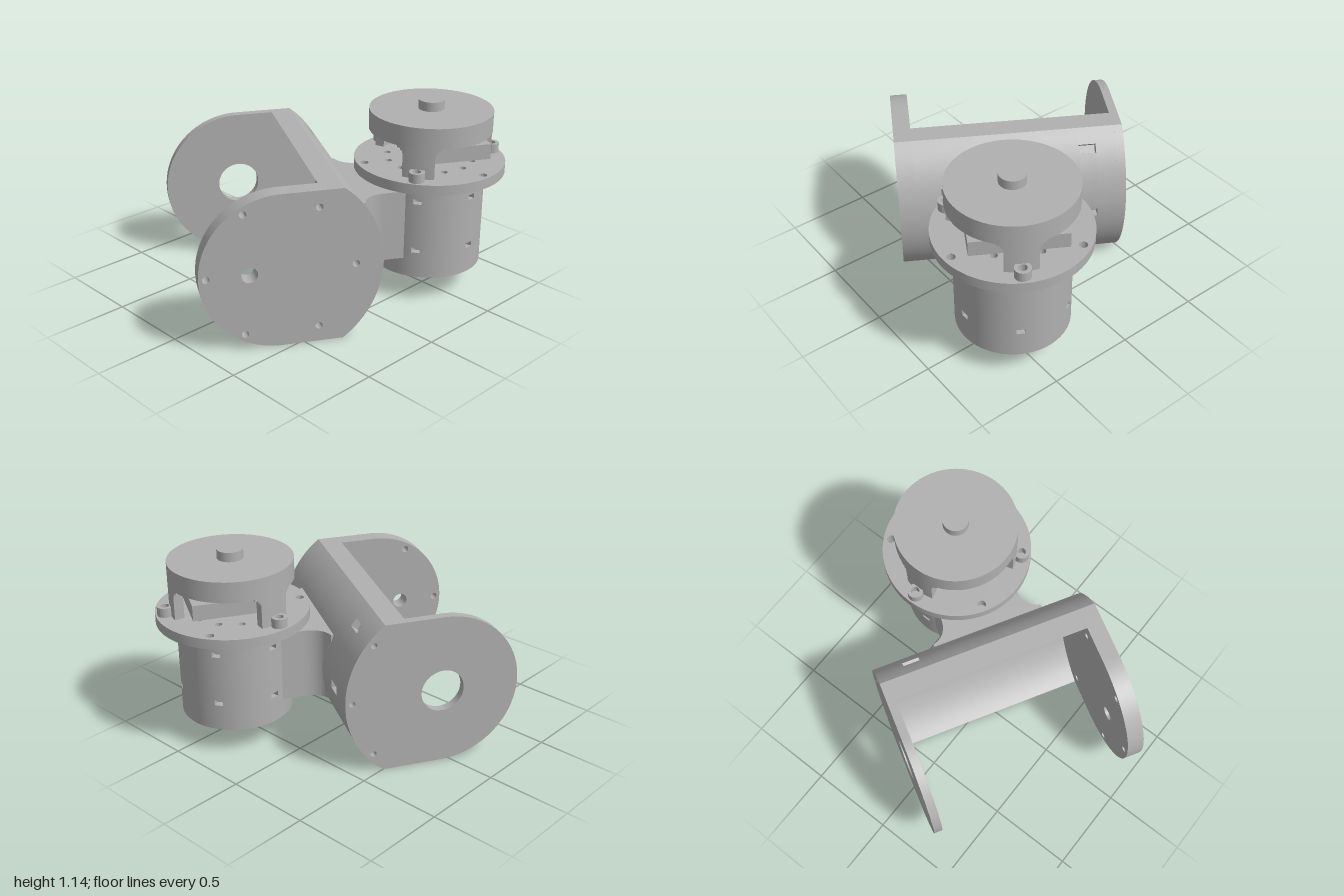
import * as THREE from 'three';
import { toCreasedNormals } from 'three/addons/utils/BufferGeometryUtils.js';

const grey = new THREE.MeshStandardMaterial({ color: 0xb0b0b0 });
grey.name = 'machined grey';

const DEG = Math.PI / 180;

function add(parent, name, geometry) {
  const mesh = new THREE.Mesh(geometry, grey);
  mesh.name = name;
  parent.add(mesh);
  return mesh;
}

function extrude(shape, depth) {
  const g = new THREE.ExtrudeGeometry(shape, { depth, bevelEnabled: false, curveSegments: 48 });
  return toCreasedNormals(g, 0.5);
}

// Extrude upwards from height y (shape y points to -z)
function addUp(parent, name, shape, y, height) {
  const mesh = add(parent, name, extrude(shape, height));
  mesh.rotation.x = -Math.PI / 2;
  mesh.position.y = y;
  return mesh;
}

// Extrude sideways along x (shape x points to -z)
function addAcross(parent, name, shape, x0, x1) {
  const mesh = add(parent, name, extrude(shape, x1 - x0));
  mesh.rotation.y = Math.PI / 2;
  mesh.position.x = x0;
  return mesh;
}

function addCylinder(parent, name, r, y0, y1, x = 0, z = 0) {
  const mesh = add(parent, name, new THREE.CylinderGeometry(r, r, y1 - y0, r > 0.1 ? 96 : 32));
  mesh.position.set(x, (y0 + y1) / 2, z);
  return mesh;
}

function punch(shape, x, y, r) {
  shape.holes.push(new THREE.Path().absarc(x, y, r, 0, Math.PI * 2, true));
}

function punchRing(shape, ring, r, degrees) {
  for (const d of degrees) punch(shape, ring * Math.cos(d * DEG), ring * Math.sin(d * DEG), r);
}

function disc(r) {
  return new THREE.Shape().absarc(0, 0, r, 0, Math.PI * 2, false);
}

// Arc points with rectangular notches that step to radius r + step
function notchedArc(r, a0, a1, notches = [], half = 0, step = 0) {
  const pts = [];
  const n = Math.ceil((a1 - a0) / 0.05);
  for (let i = 0; i <= n; i++) {
    const a = a0 + ((a1 - a0) * i) / n;
    if (!notches.some(t => Math.abs(a - t) <= half + 0.002)) pts.push([a, r]);
  }
  for (const t of notches) {
    pts.push([t - half - 0.001, r], [t - half, r + step], [t + half, r + step], [t + half + 0.001, r]);
  }
  pts.sort((p, q) => p[0] - q[0]);
  return pts.map(([a, d]) => new THREE.Vector2(d * Math.cos(a), d * Math.sin(a)));
}

function sector(r0, r1, mid, half) {
  return new THREE.Shape([
    ...notchedArc(r1, mid - half, mid + half),
    ...notchedArc(r0, mid - half, mid + half).reverse(),
  ]);
}

// Fork bracket: curved shell between two rounded side plates
const OUT = 0.565, IN = 0.5, HALF = 0.45;
const outA = Math.asin(HALF / OUT), inA = Math.asin(HALF / IN);

function plateShape() {
  const s = new THREE.Shape();
  s.absarc(0, 0, OUT, -outA, outA, false);
  s.lineTo(0, HALF);
  s.absarc(0, 0, HALF, Math.PI / 2, Math.PI * 1.5, false);
  s.closePath();
  return s;
}

function buildBracket() {
  const bracket = new THREE.Group();
  bracket.name = 'forkBracket';
  bracket.position.set(0, HALF, 0.3);

  const left = plateShape();
  punch(left, 0, 0, 0.125);
  punchRing(left, 0.525, 0.017, [0, 40, -40]);
  addAcross(bracket, 'openSidePlate', left, -0.605, -0.555);

  const right = plateShape();
  punchRing(right, 0.41, 0.02, [0, 60, 120, 180, 240, 300]);
  punch(right, -0.175, 0, 0.045);
  addAcross(bracket, 'boltedSidePlate', right, 0.6, 0.7);

  // Shell slices: nut slots outside, screw pockets inside
  const slots = [-40 * DEG, 0, 40 * DEG];
  const pockets = [-16.3 * DEG, 16.3 * DEG];
  const slices = [
    [-0.555, -0.44], [-0.44, -0.34, slots], [-0.34, -0.08], [-0.08, -0.02, [], pockets],
    [-0.02, 0.26], [0.26, 0.32, [], pockets], [0.32, 0.6],
  ];
  for (const [x0, x1, outer = [], inner = []] of slices) {
    const profile = new THREE.Shape([
      ...notchedArc(OUT, -outA, outA, outer, 0.045, -0.045),
      ...notchedArc(IN, -inA, inA, inner, 0.06, 0.04).reverse(),
    ]);
    addAcross(bracket, 'curvedShell', profile, x0, x1);
  }
  return bracket;
}

function buildMotor() {
  const motor = new THREE.Group();
  motor.name = 'motorUnit';
  motor.position.set(0.118, 0, -0.715);

  // Neck flaring into the bracket
  const neck = new THREE.Shape();
  neck.moveTo(-0.24, -0.1);
  neck.lineTo(-0.24, -0.34);
  neck.quadraticCurveTo(-0.24, -0.46, -0.34, -0.485);
  neck.lineTo(-0.34, -0.5);
  neck.lineTo(0.34, -0.5);
  neck.lineTo(0.34, -0.485);
  neck.quadraticCurveTo(0.24, -0.46, 0.24, -0.34);
  neck.lineTo(0.24, -0.1);
  neck.closePath();
  addUp(motor, 'neck', neck, 0.27, 0.42);

  // Rectangular block seen through the bell windows
  const block = add(motor, 'innerBlock', new THREE.BoxGeometry(0.525, 0.09, 0.43));
  block.position.set(0, 0.895, -0.055);

  const round = new THREE.Group();
  round.name = 'roundHousing';
  round.rotation.y = 30 * DEG;
  motor.add(round);

  // Housing in layers, two of them with small slots
  const slots = [0, 60, 120, 180, 240, 300].map(d => d * DEG);
  const layers = [
    [0.18, 0.315], [0.315, 0.345, slots], [0.345, 0.62], [0.62, 0.65, slots], [0.65, 0.73],
  ];
  for (const [y0, y1, cuts = []] of layers) {
    const pts = notchedArc(0.325, -0.5, Math.PI * 2 - 0.5, cuts, 0.075, -0.04);
    pts.pop();
    addUp(round, 'housing', new THREE.Shape(pts), y0, y1 - y0);
  }
  const base = disc(0.325);
  punchRing(base, 0.28, 0.014, [0, 60, 120, 180, 240, 300]);
  punch(base, 0, 0, 0.215);
  addUp(round, 'basePlate', base, 0.16, 0.02);
  const hub = disc(0.19);
  punchRing(hub, 0.11, 0.012, [0, 90, 180, 270]);
  addUp(round, 'baseHub', hub, 0.145, 0.035);

  const flange = disc(0.44);
  punchRing(flange, 0.395, 0.024, [0, 120, 240]);
  punchRing(flange, 0.25, 0.02, [0, 30, 90, 120, 150, 210, 240, 270, 330]);
  addUp(round, 'flange', flange, 0.73, 0.06);

  // Bell: cap, rim and three legs that widen into the rim
  addCylinder(round, 'bellCap', 0.357, 1.02, 1.09);
  const rim = disc(0.357);
  punch(rim, 0, 0, 0.3);
  addUp(round, 'bellRim', rim, 0.97, 0.05);
  addCylinder(round, 'topShaft', 0.075, 1.09, 1.145);
  addCylinder(round, 'lowerShaft', 0.075, 0.73, 0.85);
  addCylinder(round, 'upperShaft', 0.075, 0.94, 1.02);
  for (const d of [60, 180, 300]) {
    const a = d * DEG;
    const steps = [[0.79, 0.93, 0.26], [0.93, 0.945, 0.275], [0.945, 0.958, 0.305], [0.958, 0.97, 0.36]];
    for (const [y0, y1, half] of steps) {
      addUp(round, 'bellLeg', sector(0.3, 0.357, a, half), y0, y1 - y0);
    }
    // Hollow screw boss at the foot of the leg
    const boss = disc(0.045);
    punch(boss, 0, 0, 0.024);
    const mesh = addUp(round, 'screwBoss', boss, 0.79, 0.055);
    mesh.position.x = 0.385 * Math.cos(a);
    mesh.position.z = 0.385 * Math.sin(a);
  }
  return motor;
}

export function createModel() {
  const model = new THREE.Group();
  model.name = 'motorJoint';
  const joint = new THREE.Group();
  joint.name = 'joint';
  joint.rotation.y = -30 * DEG;
  joint.add(buildBracket(), buildMotor());
  model.add(joint);
  return model;
}
